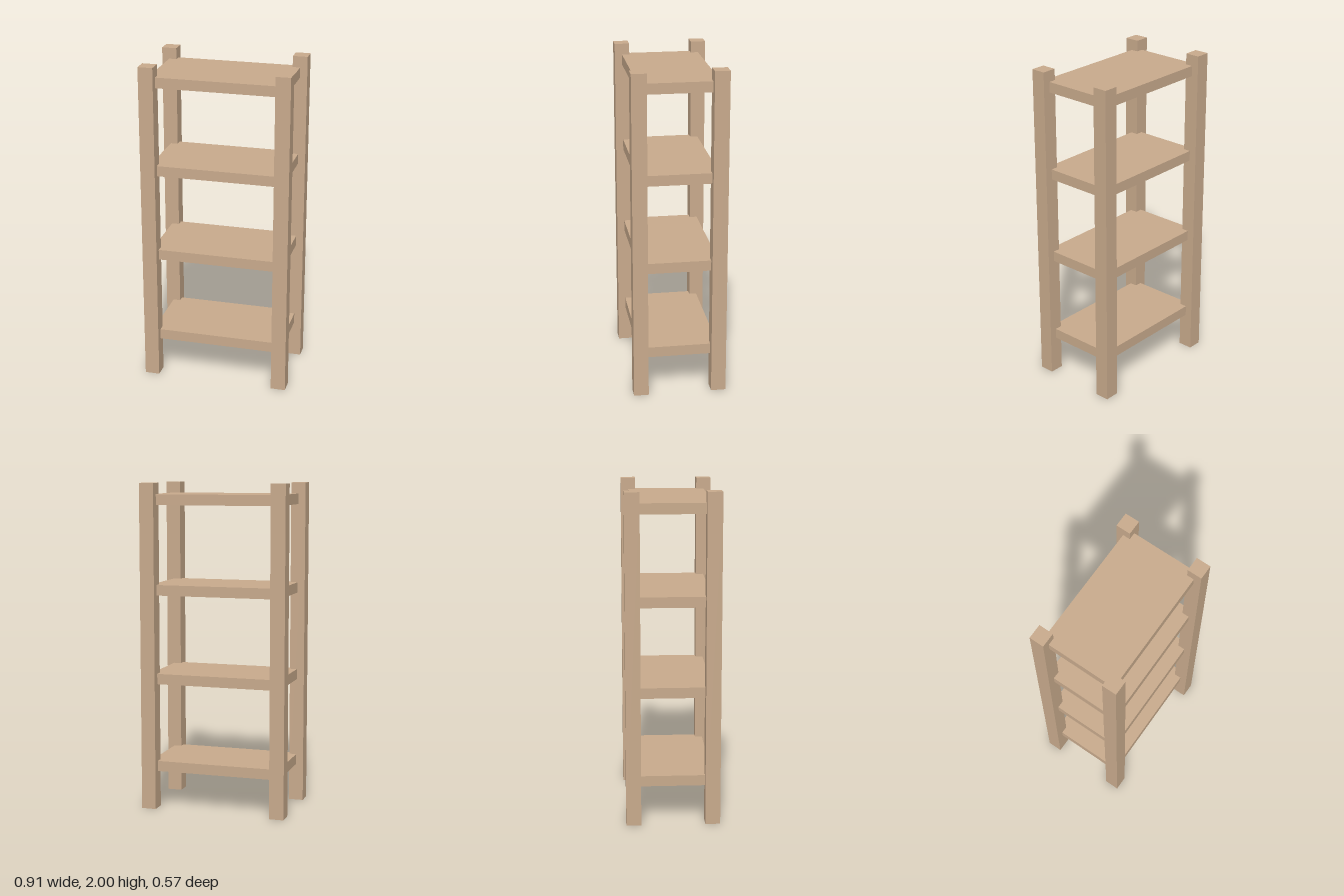
import * as THREE from 'three';

export function createModel() {
  const group = new THREE.Group();
  const wood = new THREE.MeshStandardMaterial({ color: 0xc8aa8c });
  wood.name = 'light wood';

  const addBox = (name, size, position) => {
    const mesh = new THREE.Mesh(new THREE.BoxGeometry(...size), wood);
    mesh.name = name;
    mesh.position.set(...position);
    group.add(mesh);
  };

  // Four square corner posts
  const postX = 0.408, postZ = 0.238, postWidth = 0.09;
  for (const [side, sx] of [['Left', 1], ['Right', -1]]) {
    for (const [end, sz] of [['front', 1], ['back', -1]]) {
      addBox(`${end}${side}Post`, [postWidth, 2, postWidth], [sx * postX, 1, sz * postZ]);
    }
  }

  // Four evenly spaced shelves, with corners set into the post centres
  for (let i = 0; i < 4; i++) {
    addBox(`shelf${i + 1}`, [postX * 2, 0.064, postZ * 2], [0, 0.263 + i * 0.5457, 0]);
  }

  return group;
}
